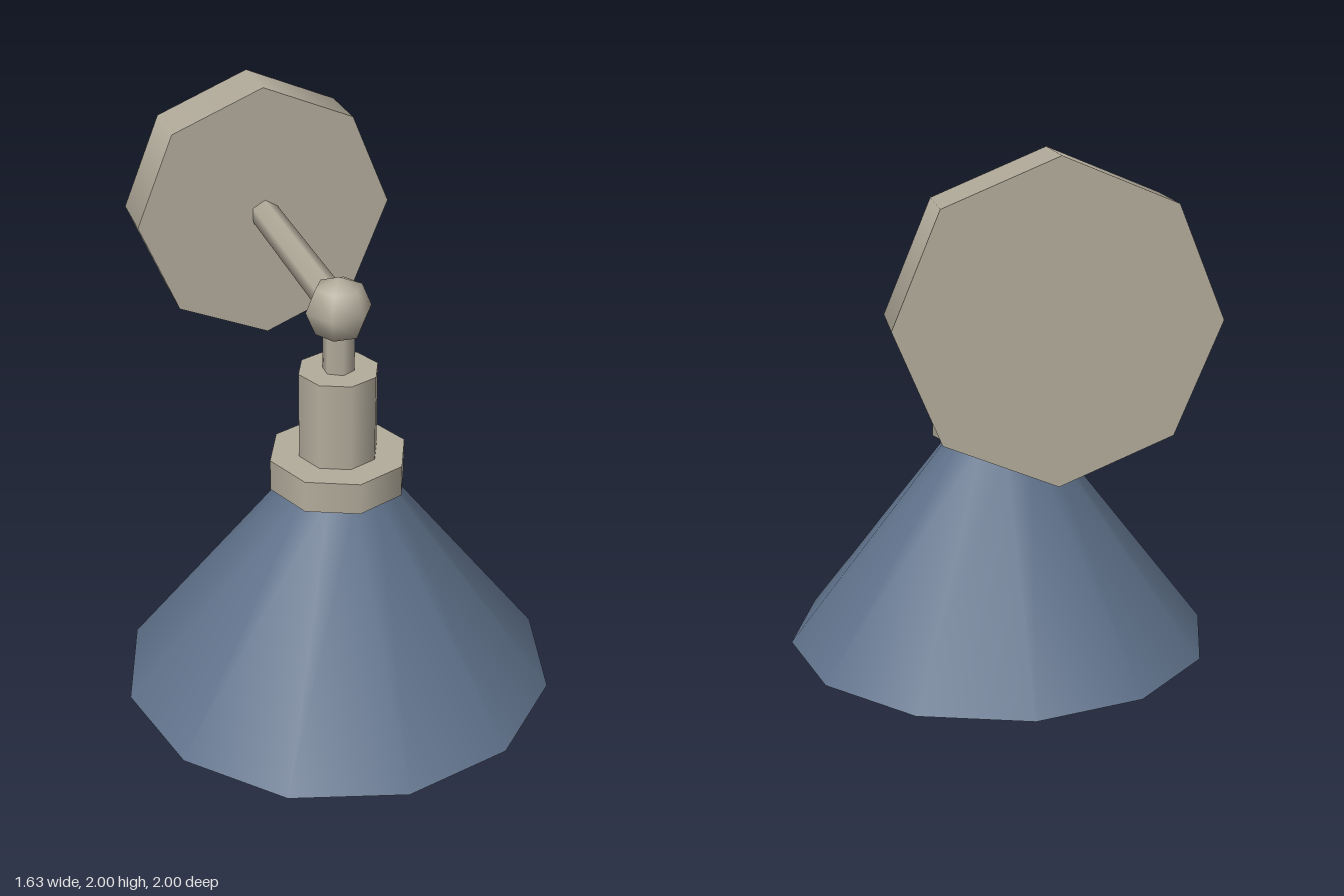
import * as THREE from 'three';

export function createModel() {
  const lamp = new THREE.Group();
  lamp.name = 'wallLamp';

  const paint = (name, color, side = THREE.FrontSide) => {
    const m = new THREE.MeshStandardMaterial({ color, side });
    m.name = name;
    return m;
  };
  const metal = paint('warm grey metal', 0xb3ac9c);
  const lining = paint('shade lining', 0xb3ac9c, THREE.DoubleSide);
  const blue = paint('slate blue', 0x5e7089, THREE.DoubleSide);
  const white = paint('bulb white', 0xe8e8e8);

  const axisZ = 0.18; // depth of the hanging column
  const armY = 1.49;  // height of the arm

  function add(name, geometry, material, y, z = axisZ) {
    const mesh = new THREE.Mesh(geometry, material);
    mesh.name = name;
    mesh.position.set(0, y, z);
    lamp.add(mesh);
    return mesh;
  }

  // Upright tube between two heights
  function column(name, rTop, rBottom, y0, y1, sides, material, open = false) {
    const g = new THREE.CylinderGeometry(rTop, rBottom, y1 - y0, sides, 1, open);
    return add(name, g, material, (y0 + y1) / 2);
  }

  // Horizontal tube between two depths
  function beam(name, r, z0, z1, sides) {
    const g = new THREE.CylinderGeometry(r, r, z1 - z0, sides).rotateX(Math.PI / 2);
    return add(name, g, metal, armY, (z0 + z1) / 2);
  }

  // Wall mount and arm
  beam('wallPlate', 0.51, -1, -0.75, 8);
  beam('arm', 0.058, -0.76, 0.15, 6);

  // Joint, stem, socket and collar
  add('ballJoint', new THREE.SphereGeometry(0.12, 6, 4), metal, armY);
  column('stem', 0.058, 0.058, 1.25, 1.43, 6, metal);
  column('socket', 0.147, 0.147, 0.92, 1.26, 8, metal);
  column('collar', 0.255, 0.255, 0.81, 0.93, 8, metal);

  // Shade: outer cone, flat rim, inner lip and lining
  column('shadeOuter', 0.19, 0.815, 0, 0.81, 12, blue, true);
  add('shadeRim', new THREE.RingGeometry(0.715, 0.815, 12).rotateX(Math.PI / 2), blue, 0);
  column('shadeLip', 0.7, 0.715, 0, 0.04, 12, blue, true);
  column('shadeLining', 0.13, 0.7, 0.04, 0.8, 12, lining, true);

  // Bulb: round globe running up into a neck
  const profile = [];
  for (let i = 0; i <= 8; i++) {
    const a = (i / 8) * Math.PI * 0.82;
    profile.push(new THREE.Vector2(0.225 * Math.sin(a), -0.225 * Math.cos(a)));
  }
  profile.push(new THREE.Vector2(0.1, 0.3), new THREE.Vector2(0.1, 0.49));
  add('bulb', new THREE.LatheGeometry(profile, 12), white, 0.32);

  return lamp;
}
